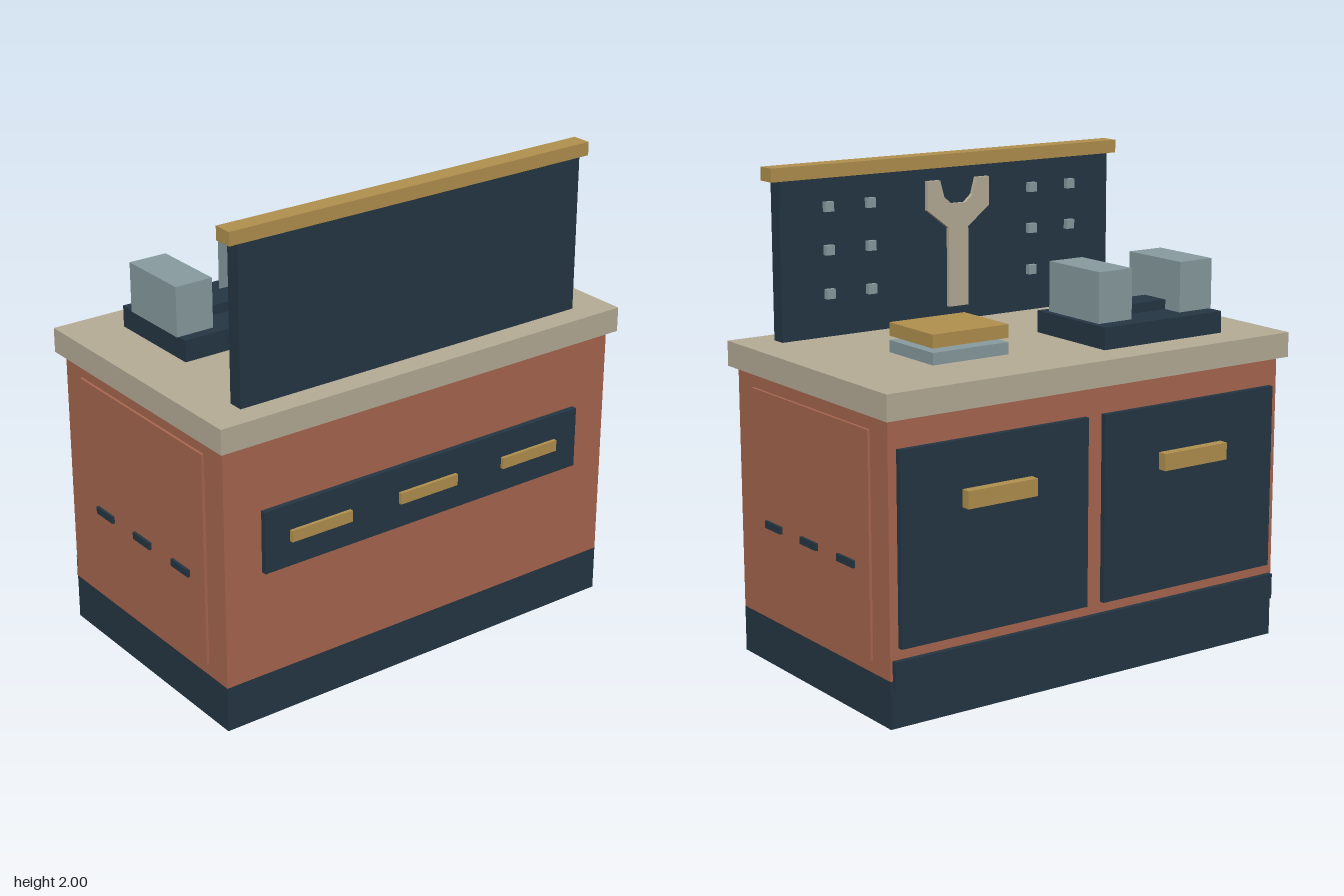
import * as THREE from 'three';

const material = (name, color) => {
  const m = new THREE.MeshStandardMaterial({ color });
  m.name = name;
  return m;
};

export function createModel() {
  const group = new THREE.Group();
  group.name = 'workbench';
  const terracotta = material('terracotta', 0xa9674f);
  const navy = material('navy', 0x253744);
  const stone = material('stone', 0xb7ad98);
  const brass = material('brass', 0xb3914f);
  const steel = material('steel', 0x889ca0);

  // Box given by its extents on each axis
  const box = (name, mat, [x0, x1], [y0, y1], [z0, z1]) => {
    const mesh = new THREE.Mesh(new THREE.BoxGeometry(x1 - x0, y1 - y0, z1 - z0), mat);
    mesh.position.set((x0 + x1) / 2, (y0 + y1) / 2, (z0 + z1) / 2);
    mesh.name = name;
    group.add(mesh);
    return mesh;
  };
  const around = (c, half) => [c - half, c + half];

  // Cabinet
  box('plinth', navy, [-0.945, 0.945], [0, 0.19], [-0.54, 0.567]);
  box('cabinet', terracotta, [-0.945, 0.945], [0.19, 1.197], [-0.54, 0.567]);
  box('countertop', stone, [-0.972, 0.972], [1.197, 1.3], [-0.58, 0.603]);

  // Back board with its cap rail
  box('backBoard', navy, [-0.815, 0.815], [1.3, 1.945], [0.435, 0.5]);
  box('capRail', brass, [-0.855, 0.855], [1.945, 2], [0.425, 0.507]);

  // Front drawer strip with three pulls
  box('frontStrip', navy, [-0.777, 0.777], [0.64, 0.9], [0.567, 0.59]);
  for (const x of [-0.52, 0, 0.52])
    box('frontPull', brass, around(x, 0.142), [0.745, 0.793], [0.59, 0.605]);

  // Side panels with vent slots, rear doors with handles
  for (const s of [-1, 1]) {
    box('sidePanel', terracotta, around(s * 0.95, 0.006), [0.24, 1.135], [-0.42, 0.445]);
    for (const z of [-0.26, 0.0125, 0.285])
      box('ventSlot', navy, around(s * 0.961, 0.006), [0.58, 0.61], around(z, 0.06));
    box('rearDoor', navy, around(s * 0.474, 0.434), [0.315, 1.08], [-0.563, -0.54]);
    box('doorHandle', brass, around(s * 0.472, 0.16), [0.82, 0.89], [-0.603, -0.563]);
  }
  box('rearKickStrip', navy, [-0.935, 0.935], [0.163, 0.27], [-0.561, -0.54]);

  // Pegs on the back board
  for (const x of [-0.605, -0.405, 0.4, 0.597])
    for (const y of [1.477, 1.655, 1.83])
      box('peg', steel, around(x, 0.02), around(y, 0.02), [0.413, 0.435]);

  // Hanging wrench, mirrored outline
  const half = [[0.048, 1.37], [0.048, 1.7], [0.153, 1.78], [0.153, 1.9],
    [0.09, 1.9], [0.07, 1.83], [0.035, 1.8]];
  const outline = [...half, ...half.map(([x, y]) => [-x, y]).reverse()];
  const wrench = new THREE.Mesh(
    new THREE.ExtrudeGeometry(new THREE.Shape(outline.map(([x, y]) => new THREE.Vector2(x, y))),
      { depth: 0.018, bevelEnabled: false }), stone);
  wrench.position.z = 0.38;
  wrench.name = 'wrench';
  group.add(wrench);

  // Vise
  box('viseBase', navy, [-0.74, -0.14], [1.3, 1.39], [-0.427, 0.02]);
  box('viseBar', navy, [-0.582, -0.334], [1.39, 1.43], [-0.262, -0.13]);
  for (const x of [-0.664, -0.25])
    box('viseJaw', steel, around(x, 0.083), [1.39, 1.597], [-0.353, -0.025]);

  // Stacked plates
  box('lowerPlate', steel, [0.27, 0.62], [1.322, 1.37], [-0.353, -0.052]);
  box('upperPlate', brass, [0.27, 0.62], [1.387, 1.44], [-0.353, -0.052]);

  return group;
}
